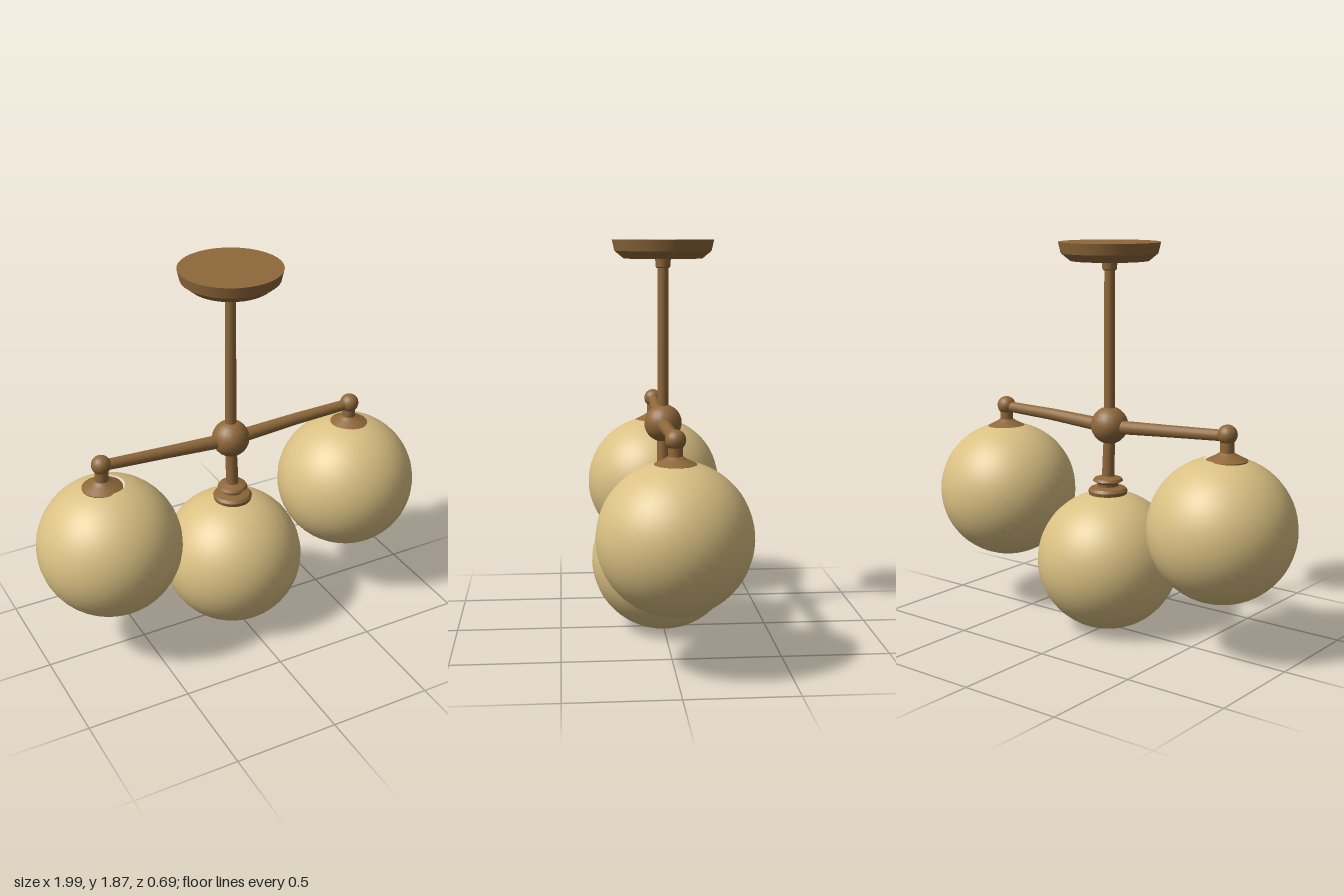
import * as THREE from 'three';

export function createModel() {
  const group = new THREE.Group();
  const brass = new THREE.MeshStandardMaterial({ color: 0x8f683a });
  brass.name = 'brass';
  const glass = new THREE.MeshStandardMaterial({ color: 0xdac083 });
  glass.name = 'warmGlass';

  const add = (name, geometry, material, x, y) => {
    const mesh = new THREE.Mesh(geometry, material);
    mesh.name = name;
    mesh.position.set(x, y, 0);
    group.add(mesh);
    return mesh;
  };
  // Turned part from [radius, height] pairs, bottom to top; every ring keeps a crisp edge
  const turned = (name, profile, x, segments = 24) => {
    const points = [];
    profile.forEach(([r, y], i) => {
      points.push(new THREE.Vector2(r, y));
      if (i > 0 && i < profile.length - 1) points.push(new THREE.Vector2(r, y));
    });
    return add(name, new THREE.LatheGeometry(points, segments), brass, x, 0);
  };
  // Tapered round bar between two points
  const bar = (name, a, b, ra, rb) => {
    const d = b.clone().sub(a);
    const mesh = add(name, new THREE.CylinderGeometry(rb, ra, d.length(), 16), brass, 0, 0);
    mesh.position.copy(a).add(b).multiplyScalar(0.5);
    mesh.quaternion.setFromUnitVectors(new THREE.Vector3(0, 1, 0), d.normalize());
  };
  const ball = (name, r, x, y) => add(name, new THREE.SphereGeometry(r, 20, 14), brass, x, y);
  // Glass globe with a small flat opening under its cap
  const globe = (name, x, y) => {
    const mesh = add(name, new THREE.SphereGeometry(0.345, 40, 28, 0, Math.PI * 2, 0.25, Math.PI - 0.25), glass, x, y);
    mesh.scale.y = 0.985;
  };

  // Ceiling canopy, collar and drop rod
  const cx = -0.01;
  turned('canopy', [[0, 1.79], [0.185, 1.79], [0.228, 1.825], [0.24, 1.877], [0, 1.877]], cx, 36);
  turned('rodCollar', [[0.028, 1.745], [0.034, 1.75], [0.038, 1.795]], cx);
  bar('dropRod', new THREE.Vector3(cx, 1, 0), new THREE.Vector3(cx, 1.8, 0), 0.027, 0.025);
  ball('hub', 0.09, cx, 1.01);

  // Side arms, each with an elbow ball, neck, cap and globe
  for (const [side, x, y, gx] of [['right', -0.675, 1.045, -0.655], ['left', 0.655, 1.035, 0.65]]) {
    const s = Math.sign(x);
    const mid = new THREE.Vector3(s * 0.35, 1.022, 0);
    bar(side + 'ArmInner', new THREE.Vector3(cx, 1.003, 0), mid, 0.034, 0.029);
    bar(side + 'ArmOuter', mid, new THREE.Vector3(x, y - 0.005, 0), 0.029, 0.026);
    ball(side + 'Elbow', 0.046, x, y);
    turned(side + 'Cap', [[0, 0.905], [0.095, 0.915], [0.095, 0.93], [0.05, 0.953], [0.032, 0.965], [0.032, 1.03]], x);
    globe(side + 'Globe', gx, 0.604);
  }

  // Centre drop with stepped cap and globe
  bar('centreStem', new THREE.Vector3(0, 0.72, 0), new THREE.Vector3(cx, 1, 0), 0.031, 0.027);
  turned('centreCap', [[0, 0.65], [0.09, 0.665], [0.095, 0.69], [0.085, 0.703], [0.05, 0.712],
    [0.052, 0.725], [0.073, 0.738], [0.066, 0.75], [0.03, 0.762]], 0);
  globe('centreGlobe', -0.003, 0.345);

  return group;
}
